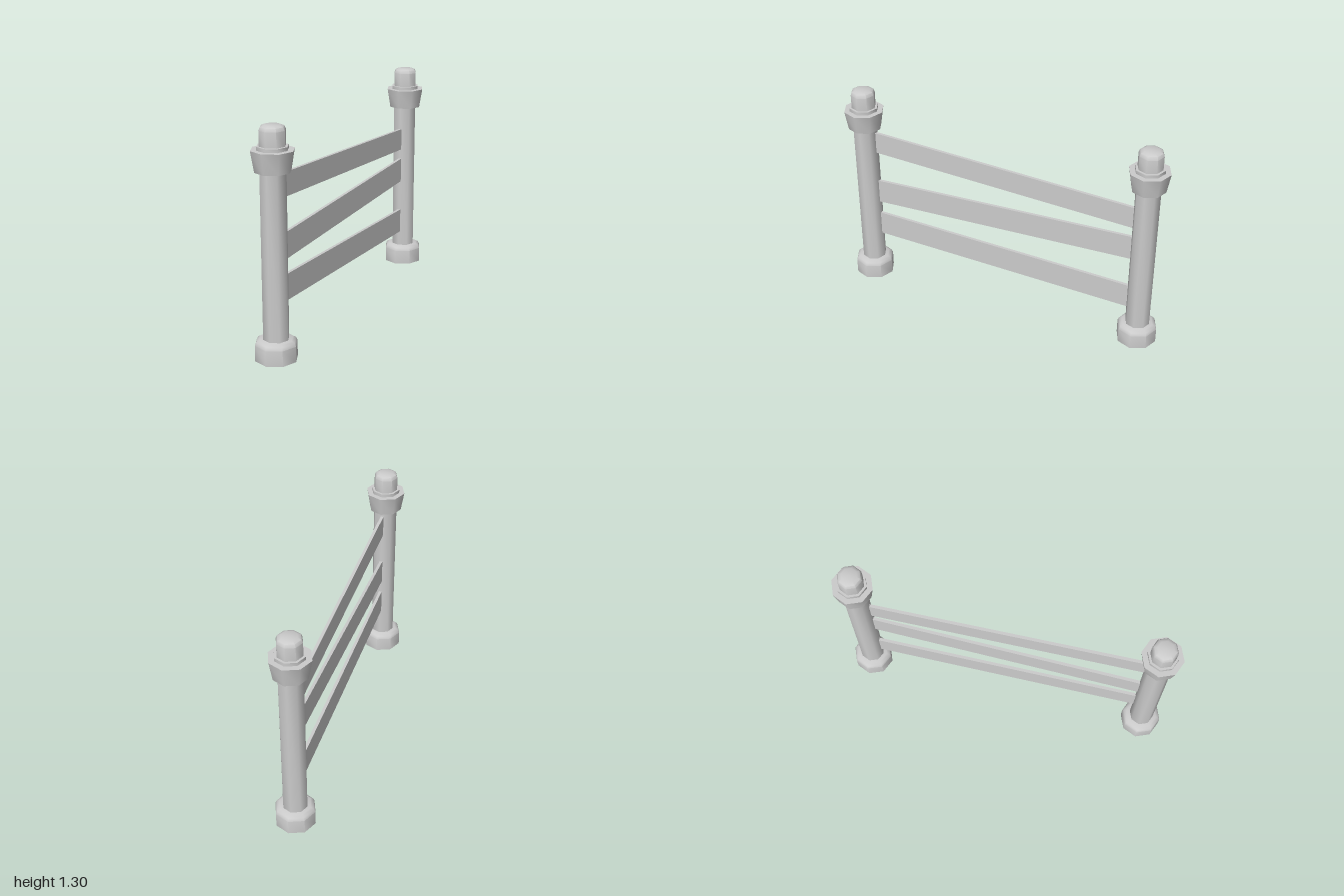
import * as THREE from 'three';
import { toCreasedNormals } from 'three/addons/utils/BufferGeometryUtils.js';

const material = new THREE.MeshStandardMaterial({ color: 0xcccccc });

// Octagonal turned part from [radius, height] pairs, listed bottom to top
function turned(name, profile) {
  const points = profile.map(([r, y]) => new THREE.Vector2(r, y));
  const geometry = toCreasedNormals(new THREE.LatheGeometry(points, 8), 0.85);
  const mesh = new THREE.Mesh(geometry, material);
  mesh.name = name;
  return mesh;
}

function createPost(name, z) {
  const post = new THREE.Group();
  post.name = name;
  post.add(
    turned('base', [[0, 0], [0.12, 0], [0.12, 0.09], [0.112, 0.108], [0.094, 0.118], [0, 0.118]]),
    turned('shaft', [[0.073, 0.1], [0.073, 1.06]]),
    turned('collar', [[0, 1.05], [0.1, 1.05], [0.12, 1.167], [0, 1.167]]),
    turned('neckRing', [[0.087, 1.16], [0.087, 1.187], [0, 1.187]]),
    turned('cap', [[0.073, 1.18], [0.073, 1.27], [0.065, 1.288], [0.045, 1.297], [0, 1.297]])
  );
  post.position.z = z;
  return post;
}

// Flat board with upright ends, sheared to its slope between the posts
function createRail(name, frontY, backY, height) {
  const half = 0.81;
  const geometry = new THREE.BoxGeometry(0.018, height, half * 2);
  const p = geometry.attributes.position;
  for (let i = 0; i < p.count; i++) {
    const t = (p.getZ(i) + half) / (2 * half);
    p.setY(i, p.getY(i) + THREE.MathUtils.lerp(backY, frontY, t));
  }
  geometry.computeVertexNormals();
  const rail = new THREE.Mesh(geometry, material);
  rail.name = name;
  return rail;
}

export function createModel() {
  const fence = new THREE.Group();
  fence.name = 'fence';
  fence.add(
    createPost('frontPost', 0.88),
    createPost('backPost', -0.88),
    createRail('topRail', 0.953, 0.842, 0.135),
    createRail('middleRail', 0.609, 0.636, 0.152),
    createRail('bottomRail', 0.374, 0.289, 0.152)
  );
  return fence;
}
